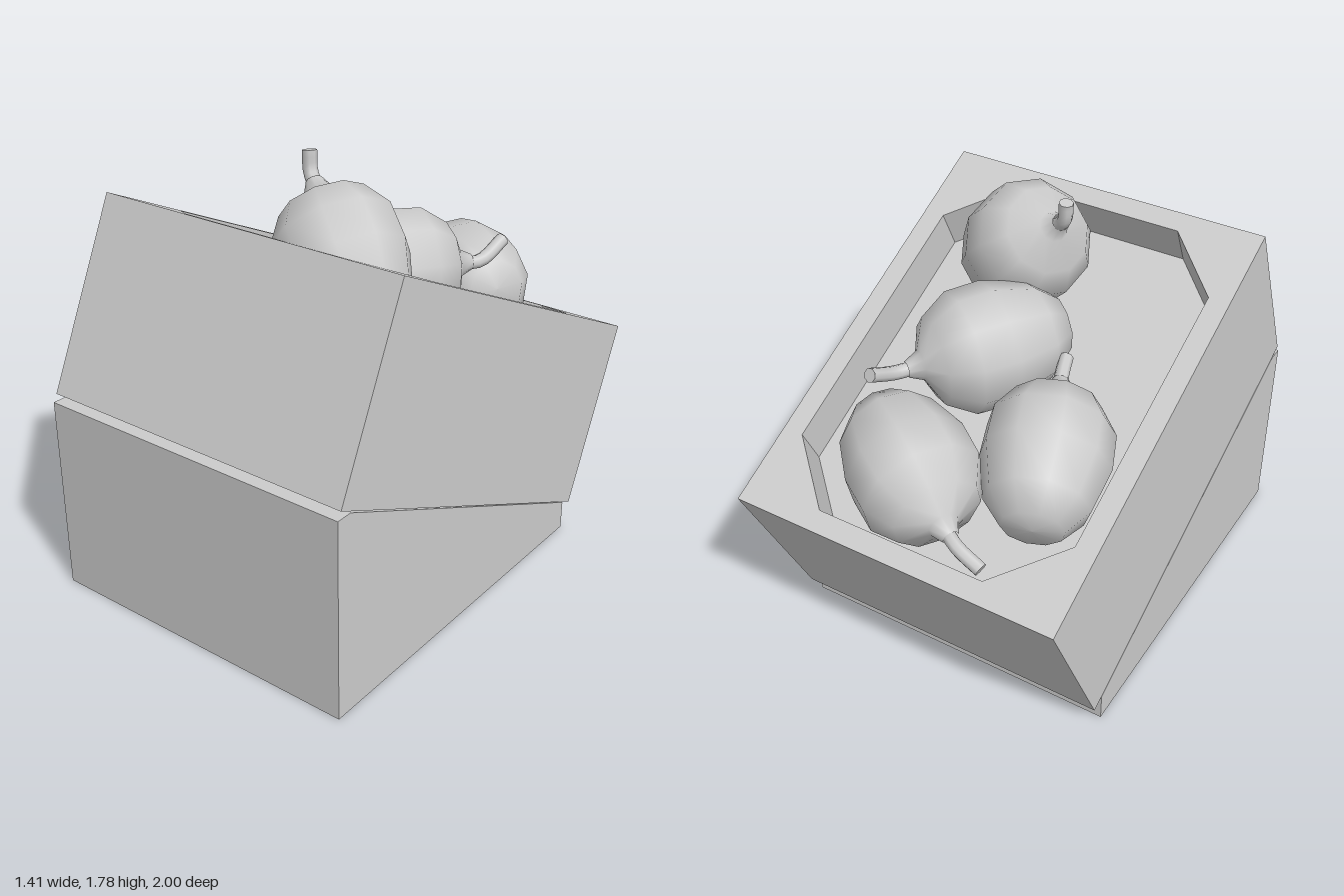
import * as THREE from 'three';

const material = new THREE.MeshStandardMaterial({ color: 0xcccccc });

function part(name, geometry, parent) {
  const mesh = new THREE.Mesh(geometry, material);
  mesh.name = name;
  parent.add(mesh);
  return mesh;
}

function polygon(points, Type = THREE.Shape) {
  return new Type(points.map(([x, y]) => new THREE.Vector2(x, y)));
}

// Lobed fruit body along +y, wide at the shoulder and blunt at the far end
function fruitBody() {
  const profile = [[0, -0.32], [0.12, -0.31], [0.2, -0.21], [0.25, -0.03], [0.245, 0.12],
    [0.175, 0.235], [0.06, 0.29], [0.032, 0.35]];
  const g = new THREE.LatheGeometry(profile.map(([r, y]) => new THREE.Vector2(r, y)), 10);
  const p = g.attributes.position, n = g.attributes.normal;
  for (let i = 0; i < p.count; i++) {
    const k = 1.02 + 0.035 * Math.cos(5 * Math.atan2(p.getZ(i), p.getX(i)));
    p.setX(i, p.getX(i) * k);
    p.setZ(i, p.getZ(i) * k);
  }
  n.needsUpdate = true;
  return g;
}

// Fruit at a centre, its stem end pointing along dir, its stem bending to tip
function addFruit(parent, name, centre, dir, tip) {
  const fruit = new THREE.Group();
  fruit.name = name;
  parent.add(fruit);
  const c = new THREE.Vector3(...centre);
  const d = new THREE.Vector3(...dir).normalize();
  const body = part('fruitBody', fruitBody(), fruit);
  body.position.copy(c);
  body.quaternion.setFromUnitVectors(new THREE.Vector3(0, 1, 0), d);

  const path = new THREE.CatmullRomCurve3([
    c.clone().addScaledVector(d, 0.28),
    c.clone().addScaledVector(d, 0.39),
    new THREE.Vector3(...tip),
  ]);
  part('stem', new THREE.TubeGeometry(path, 8, 0.029, 8), fruit);
  const cap = part('stemTip', new THREE.CircleGeometry(0.029, 8), fruit);
  cap.position.copy(path.getPoint(1));
  cap.quaternion.setFromUnitVectors(new THREE.Vector3(0, 0, 1), path.getTangent(1));
}

export function createModel() {
  const model = new THREE.Group();
  model.name = 'fruitCrate';
  const width = 1.41, halfW = width / 2, halfL = 0.905;

  // Wedge base: side profile (z, y) extruded across x
  const wedge = polygon([[-1, 0], [0.6, 0], [0.6, 0.125], [-0.93, 0.835], [-1, 0.835]]);
  const base = new THREE.ExtrudeGeometry(wedge, { depth: width, bevelEnabled: false });
  base.translate(0, 0, -halfW).rotateY(Math.PI / 2);
  part('base', base, model);

  // Tilted crate, its origin in the middle of the open top
  const crate = new THREE.Group();
  crate.name = 'crate';
  crate.position.set(0, 1.2175, -0.18);
  crate.rotation.x = -THREE.MathUtils.degToRad(25);
  model.add(crate);

  // Upper frame with a chamfered opening
  const recess = 0.19, depth = 0.81;
  const outline = polygon([[-halfW, -halfL], [halfW, -halfL], [halfW, halfL], [-halfW, halfL]]);
  const a = 0.615, b = 0.817, ch = 0.25;
  outline.holes.push(polygon([
    [-a, -b + ch], [-a, b - ch], [-a + ch, b], [a - ch, b],
    [a, b - ch], [a, -b + ch], [a - ch, -b], [-a + ch, -b],
  ], THREE.Path));
  const frame = new THREE.ExtrudeGeometry(outline, { depth: recess, bevelEnabled: false });
  frame.rotateX(-Math.PI / 2).translate(0, -recess, 0);
  part('rimFrame', frame, crate);

  // Solid lower part, whose top is the tray floor
  const block = new THREE.BoxGeometry(width, depth - recess, halfL * 2);
  block.translate(0, -(depth + recess) / 2, 0);
  part('crateBody', block, crate);

  // Fruit lying in the tray
  addFruit(model, 'frontFruit', [0.21, 1.44, 0.33], [-0.65, 0.65, -0.33], [-0.06, 1.78, 0.19]);
  addFruit(model, 'middleFruit', [0.11, 1.24, -0.11], [0.55, -0.03, -0.83], [0.35, 1.29, -0.57]);
  addFruit(model, 'rightFruit', [-0.33, 1.07, -0.41], [0.33, 0.33, 0.88], [-0.18, 1.22, 0]);
  addFruit(model, 'backFruit', [0.1, 1.02, -0.68], [-0.83, -0.2, -0.5], [-0.34, 0.89, -0.89]);

  return model;
}
